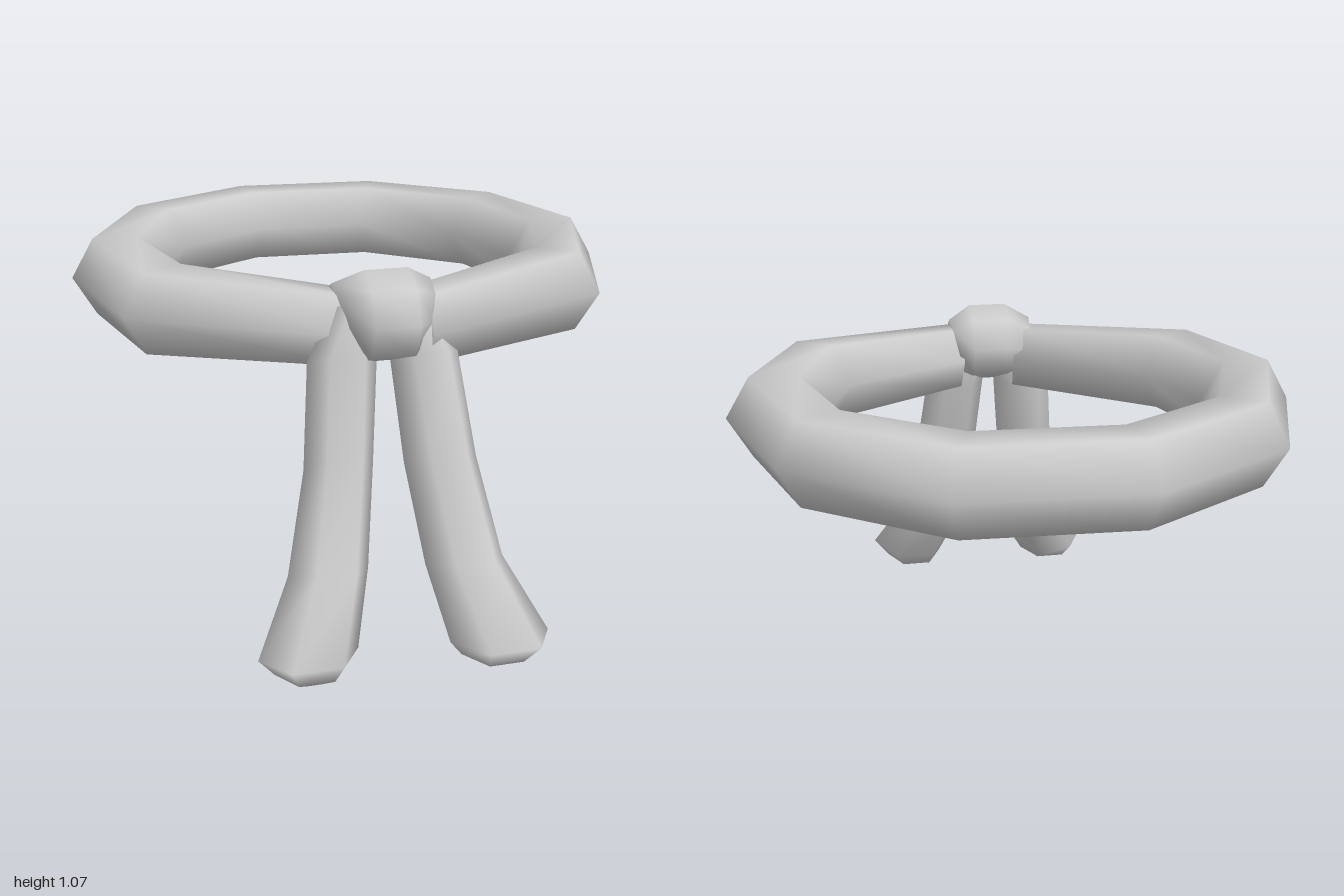
import * as THREE from 'three';

const material = new THREE.MeshStandardMaterial({ color: 0xcccccc });
const vec = (x, y, z) => new THREE.Vector3(x, y, z);

// Smooth closed tube through sections { c: centre, u, v: half axes }, u x v pointing along the path
function loft(name, sections, sides) {
  const pos = [], index = [], n = sections.length;
  for (const { c, u, v } of sections) {
    for (let j = 0; j < sides; j++) {
      const a = (j / sides) * Math.PI * 2;
      const p = c.clone().addScaledVector(u, Math.cos(a)).addScaledVector(v, Math.sin(a));
      pos.push(p.x, p.y, p.z);
    }
  }
  for (let i = 0; i < n - 1; i++) {
    for (let j = 0; j < sides; j++) {
      const k = (j + 1) % sides;
      const a = i * sides + j, b = i * sides + k;
      index.push(a, b, b + sides, a, b + sides, a + sides);
    }
  }
  // End caps
  const first = n * sides, last = first + 1, row = (n - 1) * sides;
  pos.push(...sections[0].c.toArray(), ...sections[n - 1].c.toArray());
  for (let j = 0; j < sides; j++) {
    const k = (j + 1) % sides;
    index.push(first, k, j, last, row + j, row + k);
  }
  const geometry = new THREE.BufferGeometry();
  geometry.setAttribute('position', new THREE.Float32BufferAttribute(pos, 3));
  geometry.setIndex(index);
  geometry.computeVertexNormals();
  const mesh = new THREE.Mesh(geometry, material);
  mesh.name = name;
  return mesh;
}

// Headband: outer x, outer z, inner x, inner z, half height
function headband() {
  const rows = [
    [-0.14, 0.60, -0.12, 0.41, 0.10],
    [-0.74, 0.27, -0.50, 0.12, 0.122],
    [-0.86, -0.22, -0.58, -0.21, 0.122],
    [-0.66, -0.72, -0.45, -0.54, 0.122],
    [-0.21, -1.00, -0.15, -0.73, 0.122],
    [0.32, -0.97, 0.22, -0.71, 0.122],
    [0.73, -0.63, 0.49, -0.48, 0.122],
    [0.86, -0.12, 0.57, -0.13, 0.122],
    [0.68, 0.36, 0.46, 0.19, 0.122],
    [0.07, 0.63, 0.05, 0.42, 0.10],
  ];
  return loft('headband', rows.map(([ox, oz, ix, iz, h]) => ({
    c: vec((ox + ix) / 2, 0.9, (oz + iz) / 2),
    u: vec((ox - ix) / 2, 0, (oz - iz) / 2),
    v: vec(0, h / Math.sin(Math.PI / 3), 0),
  })), 6);
}

// Knot: x, centre y, centre z, radius, outward lean of the top
function knot() {
  const rows = [
    [-0.165, 0.935, 0.50, 0.095, -0.025],
    [-0.11, 0.94, 0.54, 0.132, 0],
    [0.015, 0.94, 0.54, 0.132, 0],
    [0.07, 0.935, 0.51, 0.095, 0.02],
  ];
  return loft('knot', rows.map(([x, y, z, r, lean]) => ({
    c: vec(x, y, z), u: vec(lean, r, 0), v: vec(0, 0, r),
  })), 8);
}

// Hanging tail: x, y, z, half width, half depth, slope of the section
function tail(name, rows) {
  return loft(name, rows.map(([x, y, z, rx, rz, slope]) => ({
    c: vec(x, y, z), u: vec(rx, 0, 0),
    v: vec(0, slope * rz, rz).divideScalar(Math.sin(Math.PI / 3)),
  })), 6);
}

export function createModel() {
  const group = new THREE.Group();
  group.name = 'knottedHeadband';
  group.add(
    headband(),
    knot(),
    tail('rightTail', [
      [-0.12, 0.97, 0.52, 0.075, 0.06, 0.2],
      [-0.17, 0.82, 0.535, 0.10, 0.07, 0.35],
      [-0.20, 0.53, 0.61, 0.10, 0.08, 0.5],
      [-0.255, 0.26, 0.71, 0.115, 0.10, 0.35],
      [-0.34, 0.08, 0.83, 0.14, 0.125, 0.18],
      [-0.335, 0.025, 0.82, 0.10, 0.09, 0.1],
      [-0.33, 0.002, 0.82, 0.035, 0.045, 0],
    ]),
    tail('leftTail', [
      [0.01, 0.97, 0.53, 0.075, 0.06, 0.2],
      [0.065, 0.82, 0.545, 0.10, 0.07, 0.35],
      [0.092, 0.53, 0.63, 0.107, 0.08, 0.5],
      [0.135, 0.26, 0.735, 0.115, 0.10, 0.35],
      [0.20, 0.08, 0.868, 0.145, 0.128, 0.18],
      [0.195, 0.025, 0.85, 0.10, 0.095, 0.1],
      [0.19, 0.002, 0.845, 0.035, 0.045, 0],
    ]),
  );
  return group;
}
